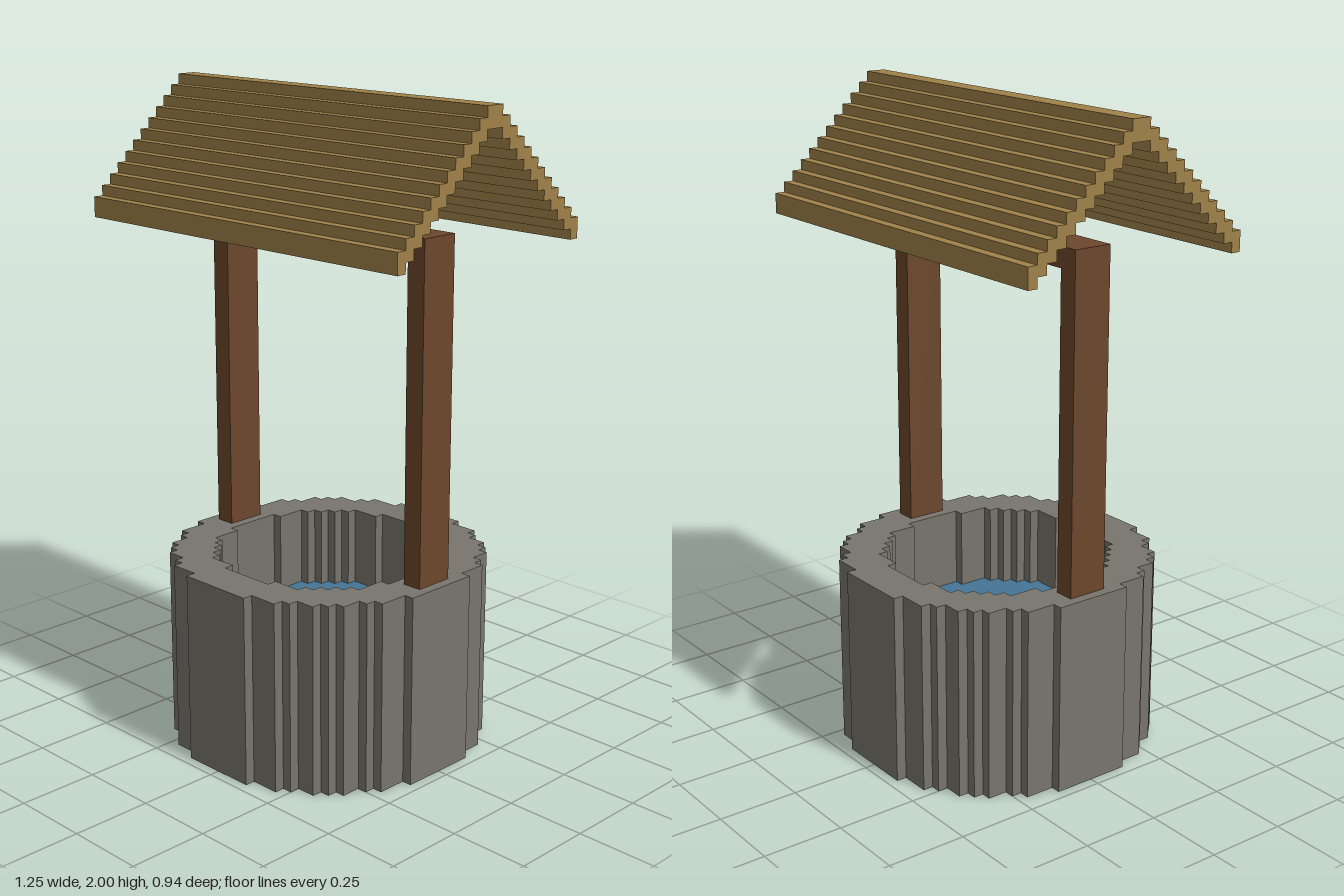
import * as THREE from 'three';

const U = 1 / 32; // one block

const mat = (name, color) => {
  const m = new THREE.MeshStandardMaterial({ color });
  m.name = name;
  return m;
};

// Outline of a disc of blocks with the given radius, stepped row by row
function steppedCircle(r) {
  const right = [];
  for (let row = -r; row < r; row++) {
    let w = 0;
    while ((w + 0.5) ** 2 + (row + 0.5) ** 2 < r * r) w++;
    const last = right[right.length - 1];
    if (last && last.x === w) last.y = row + 1;
    else right.push(new THREE.Vector2(w, row), new THREE.Vector2(w, row + 1));
  }
  const left = right.map((p) => new THREE.Vector2(-p.x, p.y)).reverse();
  return [...right, ...left];
}

// Upright prism from y0 to y1 with an optional hole
function prism(outline, y0, y1, hole) {
  const shape = new THREE.Shape(outline);
  if (hole) shape.holes.push(new THREE.Path(hole));
  const geo = new THREE.ExtrudeGeometry(shape, { depth: y1 - y0, bevelEnabled: false });
  return geo.rotateX(-Math.PI / 2).translate(0, y0, 0);
}

// Stepped gable: one block out and one block down per course
function roofGeometry(courses, top, thick, length) {
  const slope = [];
  for (let i = 0; i < courses; i++) slope.push([i, top - i], [i + 1, top - i]);
  const half = slope.slice(1);
  const upper = [...half.map(([z, y]) => [-z, y]).reverse(), ...half];
  const lower = upper.map(([z, y]) => [z, y - thick]).reverse();
  const shape = new THREE.Shape([...upper, ...lower].map(([z, y]) => new THREE.Vector2(z, y)));
  const geo = new THREE.ExtrudeGeometry(shape, { depth: length, bevelEnabled: false });
  return geo.translate(0, 0, -length / 2).rotateY(Math.PI / 2);
}

export function createModel() {
  const stone = mat('stone', 0x77756c);
  const wood = mat('dark wood', 0x6c472c);
  const thatch = mat('roof planks', 0xa0824a);
  const water = mat('water', 0x457595);

  const group = new THREE.Group();
  group.name = 'well';
  const add = (name, geo, material) => {
    const mesh = new THREE.Mesh(geo.scale(U, U, U), material);
    mesh.name = name;
    group.add(mesh);
  };

  // Stone basin
  const outer = steppedCircle(15);
  const inner = steppedCircle(11);
  add('wall', prism(outer, 0, 19, inner), stone);
  add('floor', prism(inner, 0, 1), stone);
  add('waterSurface', prism(inner, 1, 11), water);

  // Timber frame
  for (const [side, name] of [[1, 'leftPost'], [-1, 'rightPost']]) {
    add(name, new THREE.BoxGeometry(2, 33, 4).translate(side * 13, 35.5, 0), wood);
  }
  add('crossBeam', new THREE.BoxGeometry(24, 2, 4).translate(0, 51, 0), wood);

  // Roof
  add('roof', roofGeometry(12, 64, 2, 40), thatch);

  return group;
}
